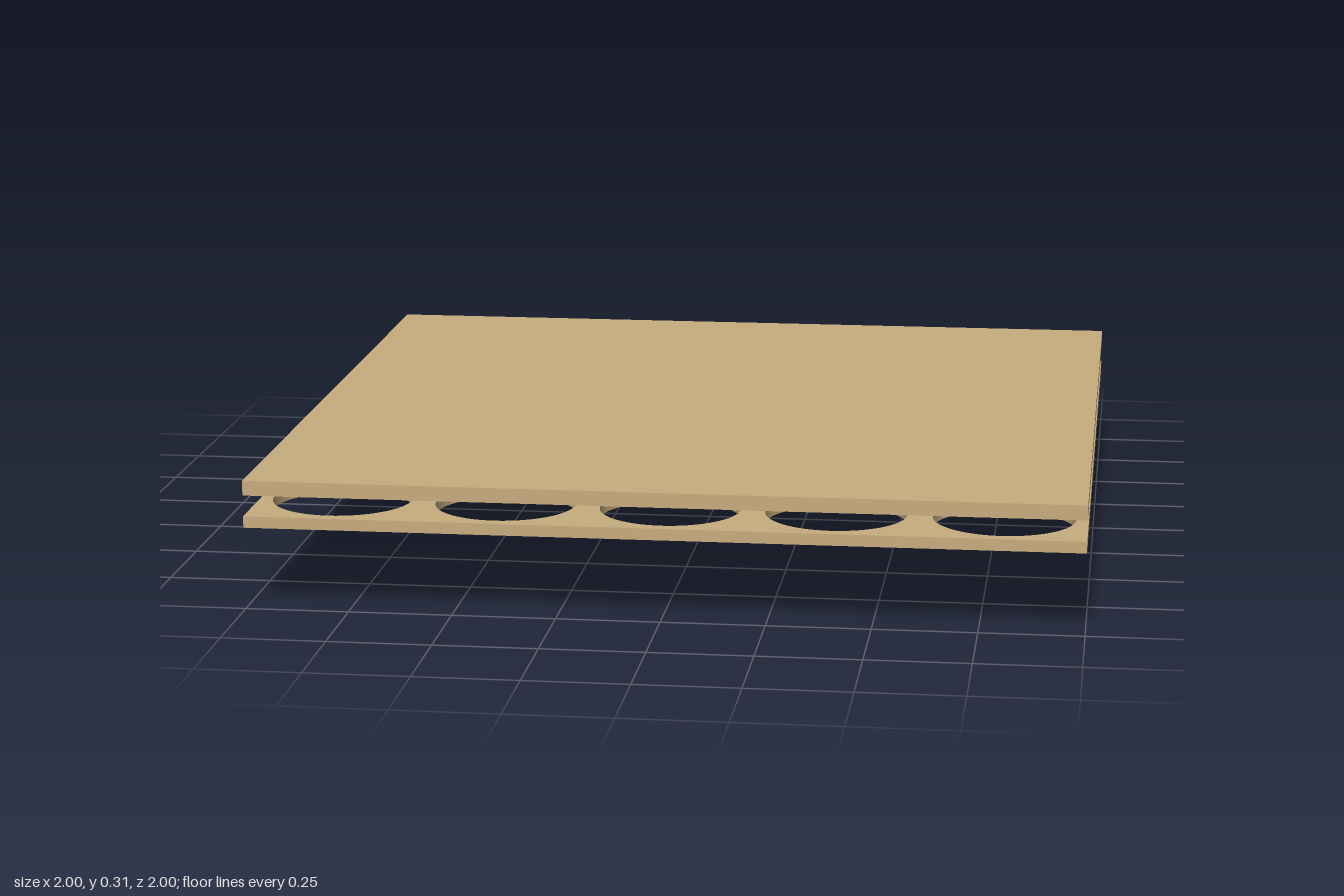
import * as THREE from 'three';

const SPACING = 0.4, HOLE_RADIUS = 0.17;

export function createModel() {
  const model = new THREE.Group();
  const wood = new THREE.MeshStandardMaterial({ color: 0xc8ad7f });
  const metal = new THREE.MeshStandardMaterial({ color: 0xcccccc, side: THREE.DoubleSide });

  const add = (name, geometry, material, x, y, z) => {
    const mesh = new THREE.Mesh(geometry, material);
    mesh.name = name;
    mesh.position.set(x, y, z);
    model.add(mesh);
  };

  // Solid cover board
  add('topBoard', new THREE.BoxGeometry(2, 0.036, 2), wood, 0, 0.297, 0);

  // Lower board with a 5 x 5 grid of round holes
  const board = new THREE.Shape([[-1, -1], [1, -1], [1, 1], [-1, 1]].map(([x, y]) => new THREE.Vector2(x, y)));
  for (let i = -2; i <= 2; i++) {
    for (let j = -2; j <= 2; j++) {
      const hole = new THREE.Path();
      hole.absarc(i * SPACING, j * SPACING, HOLE_RADIUS, 0, Math.PI * 2, true);
      board.holes.push(hole);
    }
  }
  const boardGeometry = new THREE.ExtrudeGeometry(board, { depth: 0.028, bevelEnabled: false, curveSegments: 32 });
  boardGeometry.rotateX(-Math.PI / 2);
  add('holedBoard', boardGeometry, wood, 0, 0.2, 0);

  // Capsule hanging by its rim in the back right hole; repeated points keep edges sharp
  const lathe = (points) => new THREE.LatheGeometry(points.map(([r, y]) => new THREE.Vector2(r, y)), 40);
  const addCapsulePart = (name, points) => add(name, lathe(points), metal, -2 * SPACING, 0, -2 * SPACING);
  addCapsulePart('capsuleBody', [[0.093, 0.045], [0.12, 0.045], [0.12, 0.045], [0.127, 0.06],
    [0.136, 0.1], [0.145, 0.15], [0.153, 0.2], [0.156, 0.228]]);
  addCapsulePart('capsuleBase', [[0, 0], [0.03, 0], [0.03, 0], [0.03, 0.008], [0.03, 0.008],
    [0.055, 0.012], [0.08, 0.022], [0.093, 0.034], [0.093, 0.034], [0.093, 0.045]]);
  addCapsulePart('capsuleLid', [[0.156, 0.228], [0.18, 0.228], [0.18, 0.228], [0.18, 0.233], [0.18, 0.233], [0, 0.233]]);

  return model;
}
